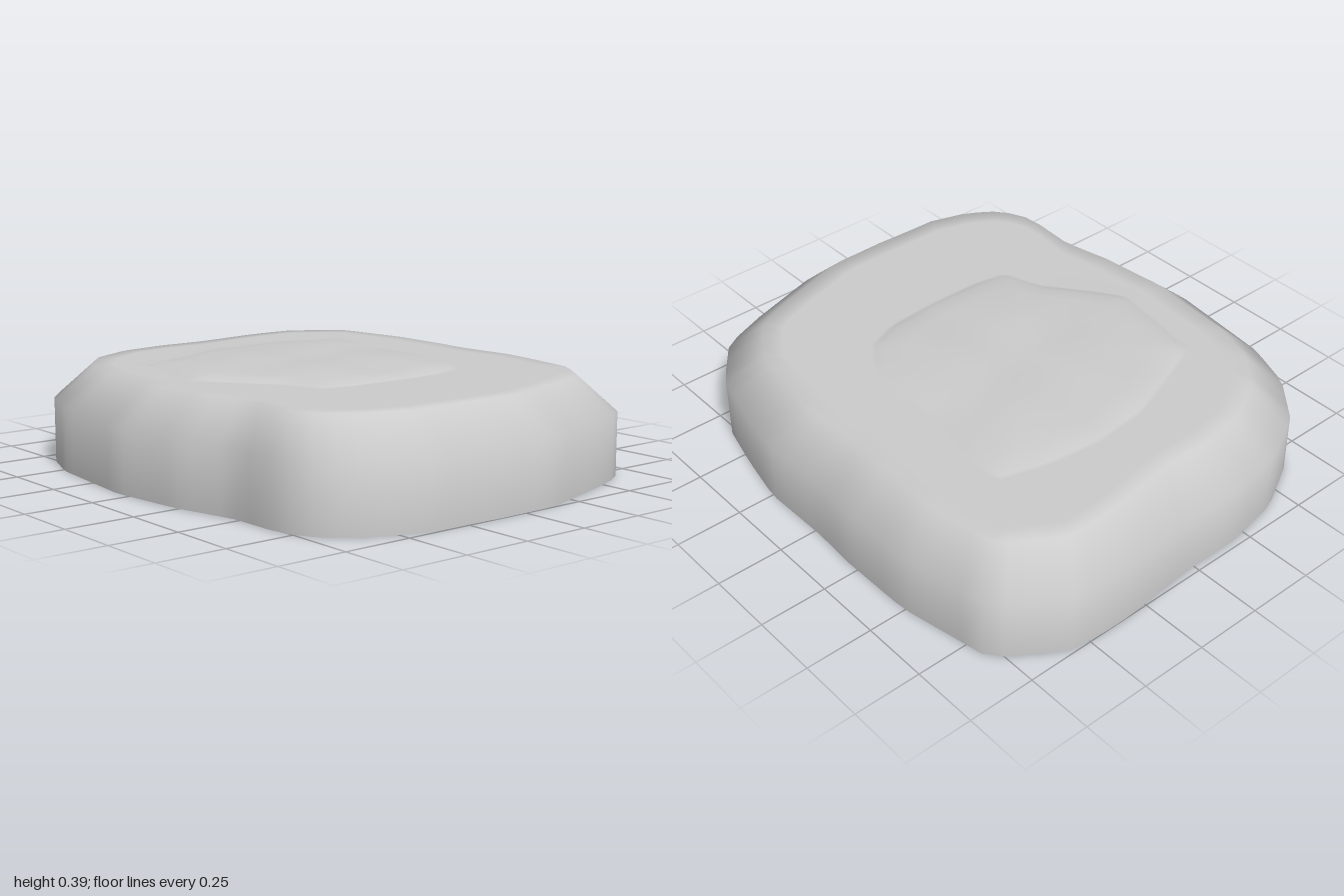
import * as THREE from 'three';

const N = 96; // points around every cross-section
const CENTRE = [-0.04, -0.08];

// Irregular footprint of the slab, as x, z pairs
const OUTLINE = [
  [-0.2, -0.975], [0.03, -0.975], [0.32, -1], [0.45, -1], [0.58, -0.985], [0.79, -0.84], [0.86, -0.49],
  [0.865, -0.2], [0.855, -0.03], [0.86, 0.25], [0.82, 0.45], [0.77, 0.65], [0.63, 0.83], [0.45, 0.9],
  [0.14, 0.995], [-0.1, 1], [-0.4, 0.985], [-0.57, 0.93], [-0.7, 0.84], [-0.765, 0.71], [-0.77, 0.47],
  [-0.83, 0.24], [-0.865, -0.06], [-0.82, -0.48], [-0.75, -0.67], [-0.61, -0.835], [-0.42, -0.935],
];

// Edge of the raised patch on the top
const PATCH = [
  [-0.5, -0.42], [-0.3, -0.5], [-0.12, -0.565], [0.1, -0.585], [0.3, -0.56], [0.47, -0.51], [0.47, -0.38],
  [0.425, -0.15], [0.425, 0.1], [0.4, 0.22], [0.32, 0.33], [0.2, 0.375], [0, 0.39], [-0.2, 0.385],
  [-0.32, 0.365], [-0.37, 0.22], [-0.5, 0.05], [-0.56, -0.04], [-0.53, -0.25],
];

// Distance from the centre to a closed polygon in a given direction
function reach(polygon, angle) {
  const dx = Math.cos(angle), dz = Math.sin(angle);
  let best = 0;
  polygon.forEach((a, i) => {
    const b = polygon[(i + 1) % polygon.length];
    const ax = a[0] - CENTRE[0], az = a[1] - CENTRE[1];
    const ex = b[0] - a[0], ez = b[1] - a[1];
    const det = dx * ez - dz * ex;
    if (Math.abs(det) < 1e-9) return;
    const t = (ax * ez - az * ex) / det;
    const u = (ax * dz - az * dx) / det;
    if (u >= -1e-6 && u <= 1 + 1e-6) best = Math.max(best, t);
  });
  return best;
}

// Height of the patch: a low dome with shallow ripples
function patchHeight(x, z, rise) {
  const ripple = 0.003 * Math.cos((x + 0.15) * 18) + 0.002 * Math.sin(z * 17 + x * 4);
  return 0.355 + rise * (1 + ripple / 0.027);
}

export function createModel() {
  // Cross-sections from the open bottom edge, over the bevel, to the patch
  const rings = [
    { polygon: OUTLINE, y: 0 },
    { polygon: OUTLINE, y: 0.23 },
    { polygon: OUTLINE, inset: 0.145, y: 0.355 },
    { polygon: OUTLINE, inset: 0.22, y: 0.355 },
    { polygon: PATCH, scale: 1.03, y: 0.355 },
    { polygon: PATCH, scale: 1, rise: 0.002 },
    { polygon: PATCH, scale: 0.93, rise: 0.014 },
    { polygon: PATCH, scale: 0.8, rise: 0.019 },
    { polygon: PATCH, scale: 0.6, rise: 0.024 },
    { polygon: PATCH, scale: 0.4, rise: 0.026 },
    { polygon: PATCH, scale: 0.2, rise: 0.026 },
  ];
  const positions = [], index = [];
  rings.forEach(({ polygon, inset = 0, scale = 1, y, rise = 0 }, r) => {
    for (let i = 0; i < N; i++) {
      const angle = (i / N) * Math.PI * 2;
      const d = reach(polygon, angle) * scale - inset;
      const x = CENTRE[0] + Math.cos(angle) * d;
      const z = CENTRE[1] + Math.sin(angle) * d;
      positions.push(x, y ?? patchHeight(x, z, rise), z);
      if (r === 0) continue;
      const j = (i + 1) % N;
      const a = (r - 1) * N + i, b = (r - 1) * N + j;
      const c = r * N + i, e = r * N + j;
      index.push(a, c, b, b, c, e);
    }
  });

  // Close the middle of the patch
  const last = (rings.length - 1) * N;
  positions.push(CENTRE[0], patchHeight(...CENTRE, 0.026), CENTRE[1]);
  for (let i = 0; i < N; i++) index.push(last + i, last + N, last + (i + 1) % N);

  const geometry = new THREE.BufferGeometry();
  geometry.setAttribute('position', new THREE.Float32BufferAttribute(positions, 3));
  geometry.setIndex(index);
  geometry.computeVertexNormals();

  const stone = new THREE.Mesh(
    geometry,
    new THREE.MeshStandardMaterial({ color: 0xcccccc, side: THREE.DoubleSide }),
  );
  stone.name = 'stoneSlab';

  const group = new THREE.Group();
  group.name = 'steppingStone';
  group.add(stone);
  return group;
}
